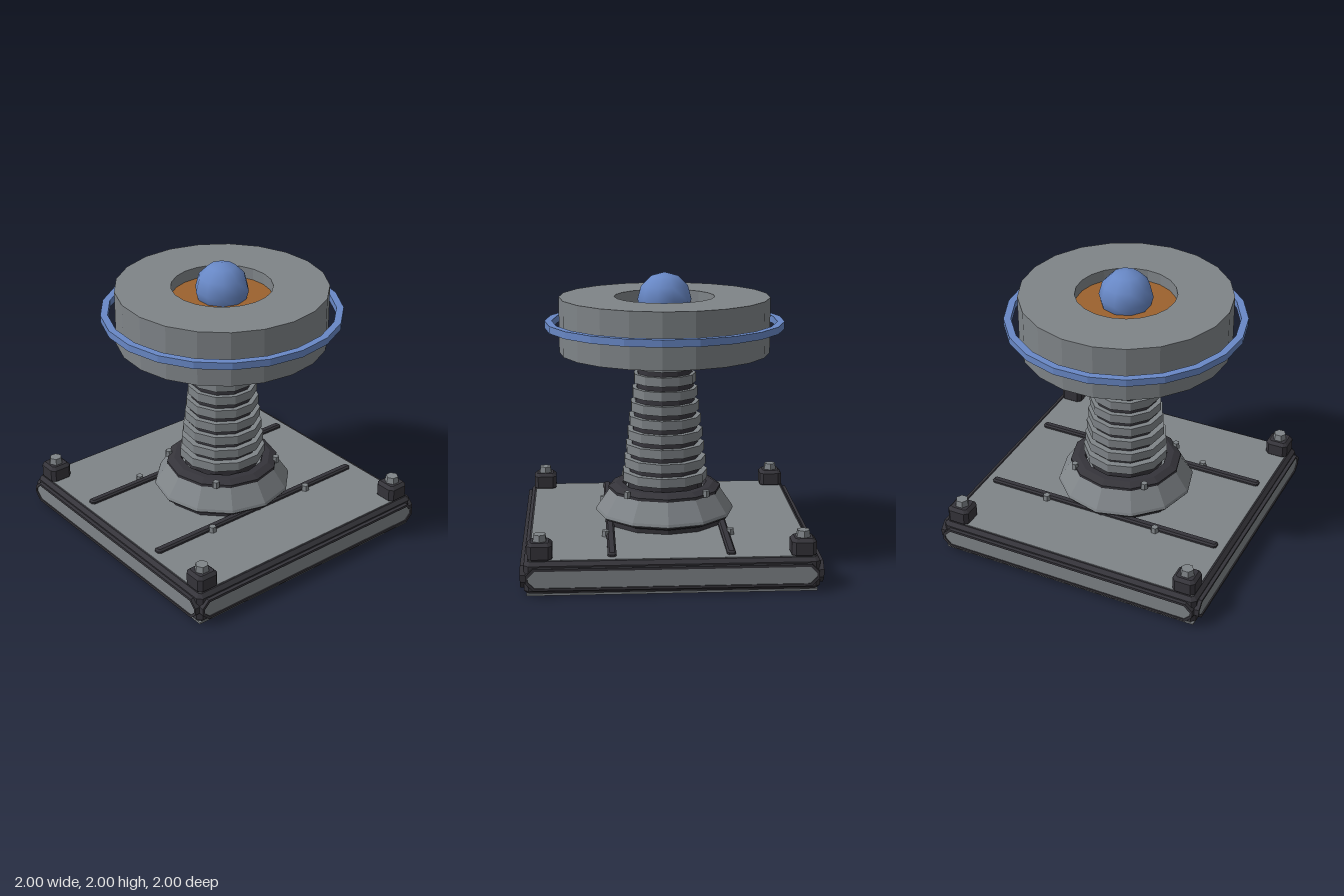
import * as THREE from 'three';

const mat = (name, color, extra = {}) => {
  const m = new THREE.MeshStandardMaterial({ color, ...extra });
  m.name = name;
  return m;
};

export function createModel() {
  const model = new THREE.Group();
  model.name = 'pedestalDevice';
  const grey = mat('grey metal', 0x7f8488, { flatShading: true });
  const dark = mat('dark metal', 0x35343a, { flatShading: true });
  const blue = mat('blue glow', 0x6888c6);
  const orange = mat('orange copper', 0x9c622e, { flatShading: true });

  const add = (name, geo, material, x = 0, y = 0, z = 0, parent = model) => {
    const m = new THREE.Mesh(geo, material);
    m.name = name;
    m.position.set(x, y, z);
    parent.add(m);
    return m;
  };

  // rectangle with cut corners
  const cutRect = (w, h, c, Type = THREE.Shape) => {
    const a = w / 2, b = h / 2;
    return new Type([[-a + c, -b], [a - c, -b], [a, -b + c], [a, b - c], [a - c, b], [-a + c, b], [-a, b - c], [-a, -b + c]]
      .map(p => new THREE.Vector2(...p)));
  };

  // box standing on y = 0 with all edges chamfered
  const chamferBox = (w, h, d, c) => {
    const g = new THREE.ExtrudeGeometry(cutRect(w - 2 * c, d - 2 * c, c * 0.6),
      { depth: h - 2 * c, bevelEnabled: true, bevelSize: c, bevelThickness: c, bevelSegments: 1 });
    return g.translate(0, 0, c).rotateX(-Math.PI / 2);
  };

  // turned part with a corner on the x axis
  const turned = (points, sides) =>
    new THREE.LatheGeometry(points.map(p => new THREE.Vector2(...p)), sides).rotateY(Math.PI / 2).toNonIndexed();
  const flat = g => { g.computeVertexNormals(); return g; };

  // base slab with top and bottom plates
  add('baseFrame', chamferBox(1.95, 0.22, 1.95, 0.025), dark, 0, 0.01, 0);
  add('topPlate', new THREE.BoxGeometry(1.88, 0.012, 1.88), grey, 0, 0.229, 0);
  add('bottomPlate', new THREE.BoxGeometry(1.92, 0.014, 1.92), grey, 0, 0.007, 0);

  // four framed side panels
  const rimShape = cutRect(1.93, 0.15, 0.05);
  rimShape.holes.push(cutRect(1.9, 0.115, 0.045, THREE.Path));
  const rimGeo = new THREE.ExtrudeGeometry(rimShape, { depth: 0.035, bevelEnabled: false });
  const panelGeo = new THREE.ExtrudeGeometry(cutRect(1.905, 0.12, 0.045), { depth: 0.03, bevelEnabled: false });
  for (let i = 0; i < 4; i++) {
    const side = new THREE.Group();
    side.name = 'sidePanel';
    side.rotation.y = i * Math.PI / 2;
    model.add(side);
    add('panelRim', rimGeo, dark, 0, 0.12, 0.965, side);
    add('panelFace', panelGeo, grey, 0, 0.12, 0.962, side);
  }

  // corner blocks with bolts, and smaller bolts around the foot
  const blockGeo = chamferBox(0.165, 0.13, 0.165, 0.022);
  const bolt = (name, x, y, z, r, h) => {
    add(name, new THREE.CylinderGeometry(r * 0.85, r, h, 6), grey, x, y + h / 2, z);
  };
  for (const sx of [-1, 1]) for (const sz of [-1, 1]) {
    add('cornerBlock', blockGeo, dark, sx * 0.87, 0.22, sz * 0.87);
    bolt('cornerBolt', sx * 0.87, 0.345, sz * 0.87, 0.052, 0.05);
    bolt('floorBolt', sx * 0.43, 0.23, sz * 0.43, 0.03, 0.045);
    bolt('shoulderBolt', sx * 0.275, 0.46, sz * 0.275, 0.028, 0.045);
  }

  // floor rails
  for (const s of [-1, 1]) add('floorRail', chamferBox(0.058, 0.04, 1.78, 0.012), dark, s * 0.395, 0.22, 0);

  // sloped foot
  add('footSkirt', flat(turned([[0.43, 0.23], [0.43, 0.265], [0.48, 0.285], [0.48, 0.3], [0.45, 0.31]], 12)), dark);
  add('footCone', flat(turned([[0.45, 0.275], [0.492, 0.3], [0.485, 0.32], [0.39, 0.46], [0, 0.465]], 12)), grey);
  add('footCollar', flat(turned([[0.4, 0.455], [0.4, 0.475], [0.35, 0.5], [0.3, 0.5], [0.29, 0.46]], 12)), dark);

  // tapered column with stacked rings
  add('columnBase', new THREE.CylinderGeometry(0.27, 0.27, 0.07, 11).rotateY(-Math.PI / 2), dark, 0, 0.495, 0);
  add('columnCore', new THREE.CylinderGeometry(0.175, 0.265, 1.0, 11).rotateY(-Math.PI / 2), dark, 0, 1.03, 0);
  for (let i = 0; i < 9; i++) {
    const r = 0.306 - i * 0.012;
    add('columnRing', new THREE.CylinderGeometry(r, r, 0.065, 11).rotateY(-Math.PI / 2), grey, 0, 0.562 + i * 0.1, 0);
  }

  // head drum with open centre, copper core and dome
  add('headDrum', flat(turned([[0.35, 1.445], [0.735, 1.445], [0.735, 1.832], [0.35, 1.832], [0.35, 1.445]], 21)), grey);
  add('copperCore', new THREE.CylinderGeometry(0.349, 0.349, 0.22, 21).rotateY(Math.PI / 2), orange, 0, 1.64, 0);
  add('dome', new THREE.SphereGeometry(0.188, 10, 6), blue, 0, 1.812, 0);

  // floating ring
  add('haloRing', flat(turned([[0.785, 1.616], [0.835, 1.616], [0.835, 1.666], [0.785, 1.666], [0.785, 1.616]], 21)), blue);

  return model;
}
